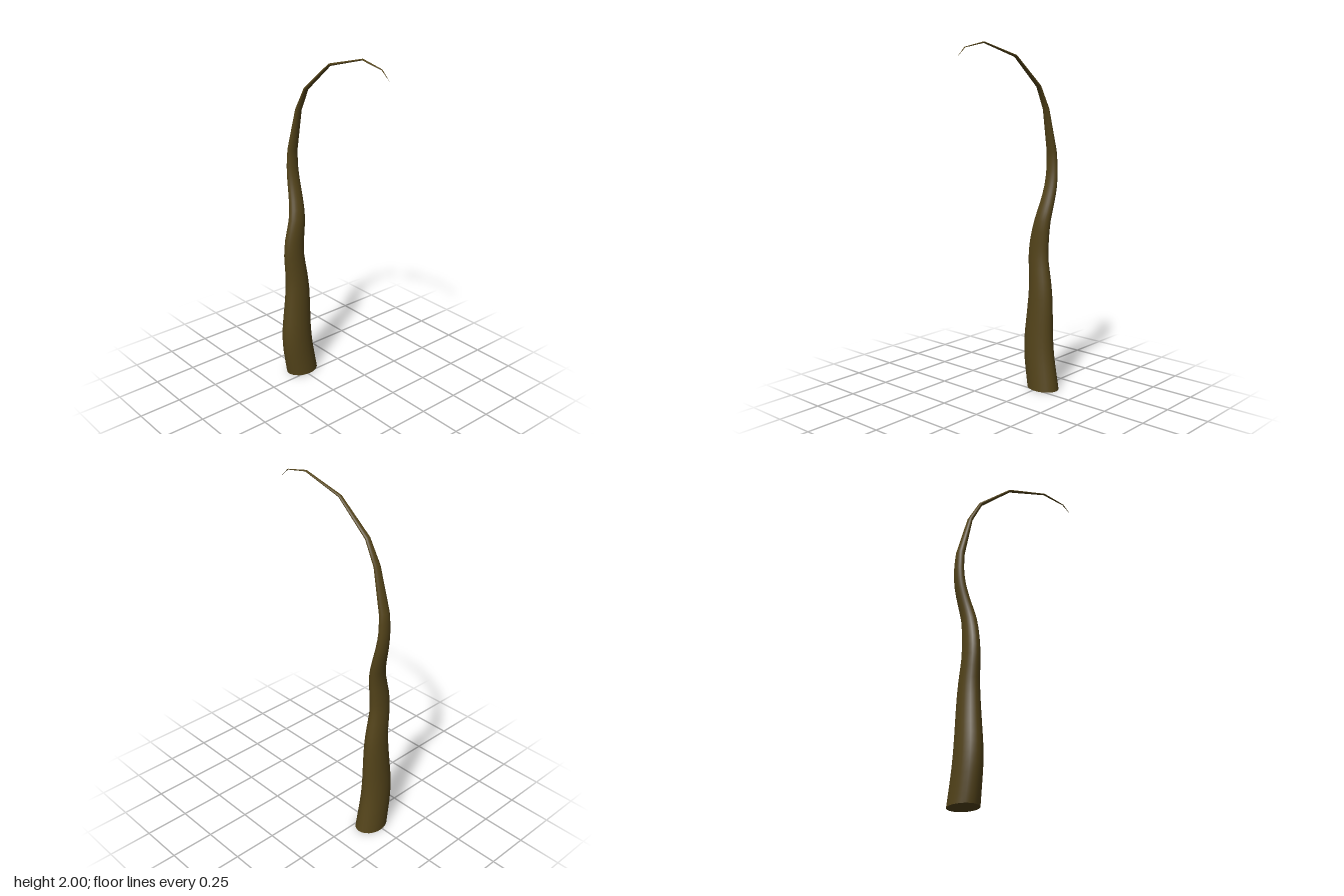
import * as THREE from 'three';

const SIDES = 24;

// Sections up the trunk: centre x, y, z, then in-plane and depth radii
const TRUNK = [
  [-0.312, 0.00, -0.013, 0.078, 0.100],
  [-0.312, 0.10, 0.004, 0.074, 0.100],
  [-0.312, 0.20, 0.018, 0.071, 0.098],
  [-0.312, 0.30, 0.022, 0.067, 0.094],
  [-0.312, 0.40, 0.018, 0.062, 0.088],
  [-0.312, 0.55, 0.012, 0.055, 0.078],
  [-0.313, 0.65, 0.016, 0.050, 0.071],
  [-0.314, 0.78, 0.030, 0.043, 0.065],
  [-0.314, 0.88, 0.024, 0.040, 0.062],
  [-0.316, 1.00, 0.004, 0.037, 0.052],
  [-0.339, 1.10, -0.010, 0.032, 0.045],
  [-0.364, 1.20, -0.016, 0.028, 0.040],
  [-0.375, 1.30, -0.016, 0.024, 0.036],
  [-0.370, 1.40, -0.016, 0.022, 0.032],
];
// Sparse, angular sections of the drooping tip
const TIP = [
  [-0.314, 1.638, -0.018, 0.013, 0.021],
  [-0.247, 1.765, -0.019, 0.010, 0.016],
  [-0.052, 1.928, -0.019, 0.007, 0.011],
  [0.197, 1.996, -0.020, 0.004, 0.007],
  [0.336, 1.970, -0.020, 0.002, 0.004],
  [0.389, 1.924, -0.020, 0.0003, 0.0005],
];

// Smoothly subdivides the trunk sections (centres and radii alike)
function refine(rows) {
  const centres = new THREE.CatmullRomCurve3(rows.map(r => new THREE.Vector3(r[0], r[1], r[2])));
  const radii = new THREE.CatmullRomCurve3(rows.map(r => new THREE.Vector3(r[3], r[4], 0)));
  const n = (rows.length - 1) * 2;
  return Array.from({ length: n + 1 }, (_, i) => {
    const c = centres.getPoint(i / n), r = radii.getPoint(i / n);
    return [c.x, c.y, c.z, r.x, r.y];
  });
}

// Joins elliptical rings, each turned to follow the bend in the xy plane
function loft(rows) {
  const pos = [], index = [];
  rows.forEach(([x, y, z, rx, rz], i) => {
    const a = rows[Math.max(i - 1, 0)], b = rows[Math.min(i + 1, rows.length - 1)];
    const t = new THREE.Vector2(b[0] - a[0], b[1] - a[1]).normalize();
    if (i === 0) t.set(0, 1);
    for (let j = 0; j < SIDES; j++) {
      const ang = (j / SIDES) * Math.PI * 2;
      const u = Math.cos(ang) * rx;
      pos.push(x + t.y * u, y - t.x * u, z + Math.sin(ang) * rz);
      if (i === 0) continue;
      const k = (j + 1) % SIDES;
      const p = (i - 1) * SIDES, q = i * SIDES;
      index.push(p + j, q + j, p + k, p + k, q + j, q + k);
    }
  });
  const geo = new THREE.BufferGeometry();
  geo.setAttribute('position', new THREE.Float32BufferAttribute(pos, 3));
  geo.setIndex(index);
  geo.computeVertexNormals();
  return geo;
}

export function createModel() {
  const group = new THREE.Group();
  group.name = 'tentacle';
  const bark = new THREE.MeshStandardMaterial({ color: 0x54441a });

  // Tapering, wavy body curling over at the top
  const body = new THREE.Mesh(loft([...refine(TRUNK), ...TIP]), bark);
  body.name = 'body';
  group.add(body);

  // Flat cut end at the ground
  const [x, y, z, rx, rz] = TRUNK[0];
  const base = new THREE.Mesh(new THREE.CircleGeometry(1, SIDES), bark);
  base.name = 'baseCap';
  base.rotation.x = Math.PI / 2;
  base.scale.set(rx, rz, 1);
  base.position.set(x, y, z);
  group.add(base);

  return group;
}
